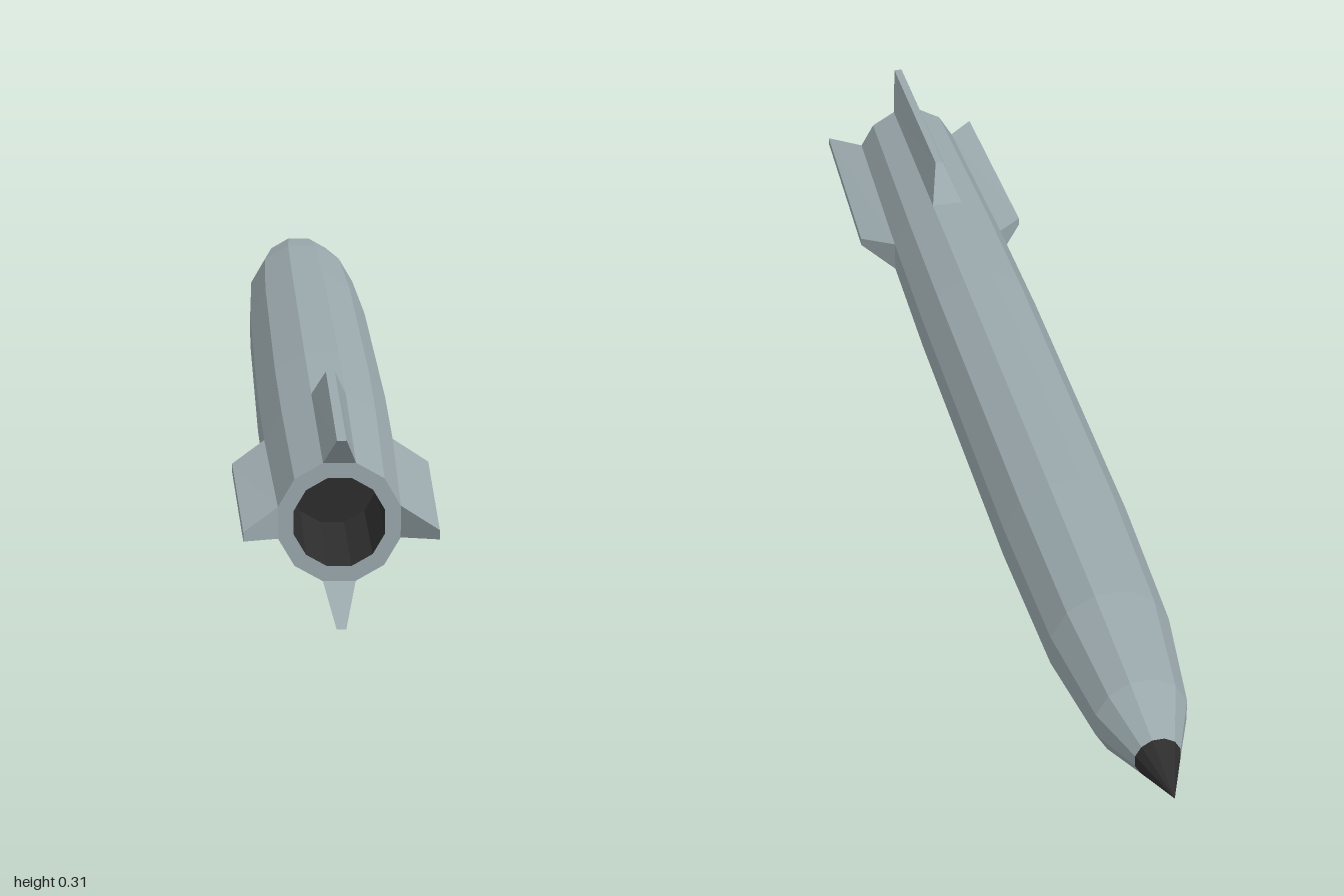
import * as THREE from 'three';

const SIDES = 12;
const HALF = Math.PI / SIDES;
const AXIS_Y = 0.1525;

export function createModel() {
  const model = new THREE.Group();
  model.name = 'missile';

  const hull = new THREE.MeshStandardMaterial({ name: 'blue grey hull', color: 0x9aa8ac, flatShading: true });
  const dark = new THREE.MeshStandardMaterial({ name: 'charcoal', color: 0x2d2d2d, flatShading: true });

  // Twelve-sided shell along z; each profile point is [z, distance to the flat sides]
  function shell(name, profile, material) {
    const points = profile.map(([z, r]) => new THREE.Vector2(r / Math.cos(HALF), z));
    const geometry = new THREE.LatheGeometry(points, SIDES, HALF);
    geometry.rotateX(Math.PI / 2);
    const mesh = new THREE.Mesh(geometry, material);
    mesh.name = name;
    mesh.position.y = AXIS_Y;
    model.add(mesh);
  }

  shell('noseTip', [[-1, 0], [-0.905, 0.036]], dark);
  shell('body', [
    [-0.905, 0.036], [-0.81, 0.073], [-0.62, 0.097], [-0.33, 0.105],
    [0.3, 0.105], [0.56, 0.101], [0.93, 0.09], [0.93, 0.067],
  ], hull);
  shell('exhaustBore', [[0.93, 0.067], [0.7, 0.067], [0.7, 0]], dark);

  // Tapered, swept fin rising from one flat side of the body
  function finGeometry() {
    const geometry = new THREE.BoxGeometry(1, 1, 1);
    const p = geometry.attributes.position;
    for (let i = 0; i < p.count; i++) {
      const side = Math.sign(p.getX(i));
      const tip = p.getY(i) > 0;
      const rear = p.getZ(i) > 0;
      const height = tip ? (rear ? 0.142 : 0.1525) : (rear ? 0.09 : 0.101);
      const halfWidth = tip ? 0.007 : height * Math.tan(HALF);
      const z = rear ? (tip ? 1 : 0.93) : (tip ? 0.625 : 0.56);
      p.setXYZ(i, side * halfWidth, height, z);
    }
    geometry.computeVertexNormals();
    return geometry;
  }

  const fin = finGeometry();
  ['topFin', 'leftFin', 'bottomFin', 'rightFin'].forEach((name, i) => {
    const mesh = new THREE.Mesh(fin, hull);
    mesh.name = name;
    mesh.position.y = AXIS_Y;
    mesh.rotation.z = -i * Math.PI / 2;
    model.add(mesh);
  });

  return model;
}
